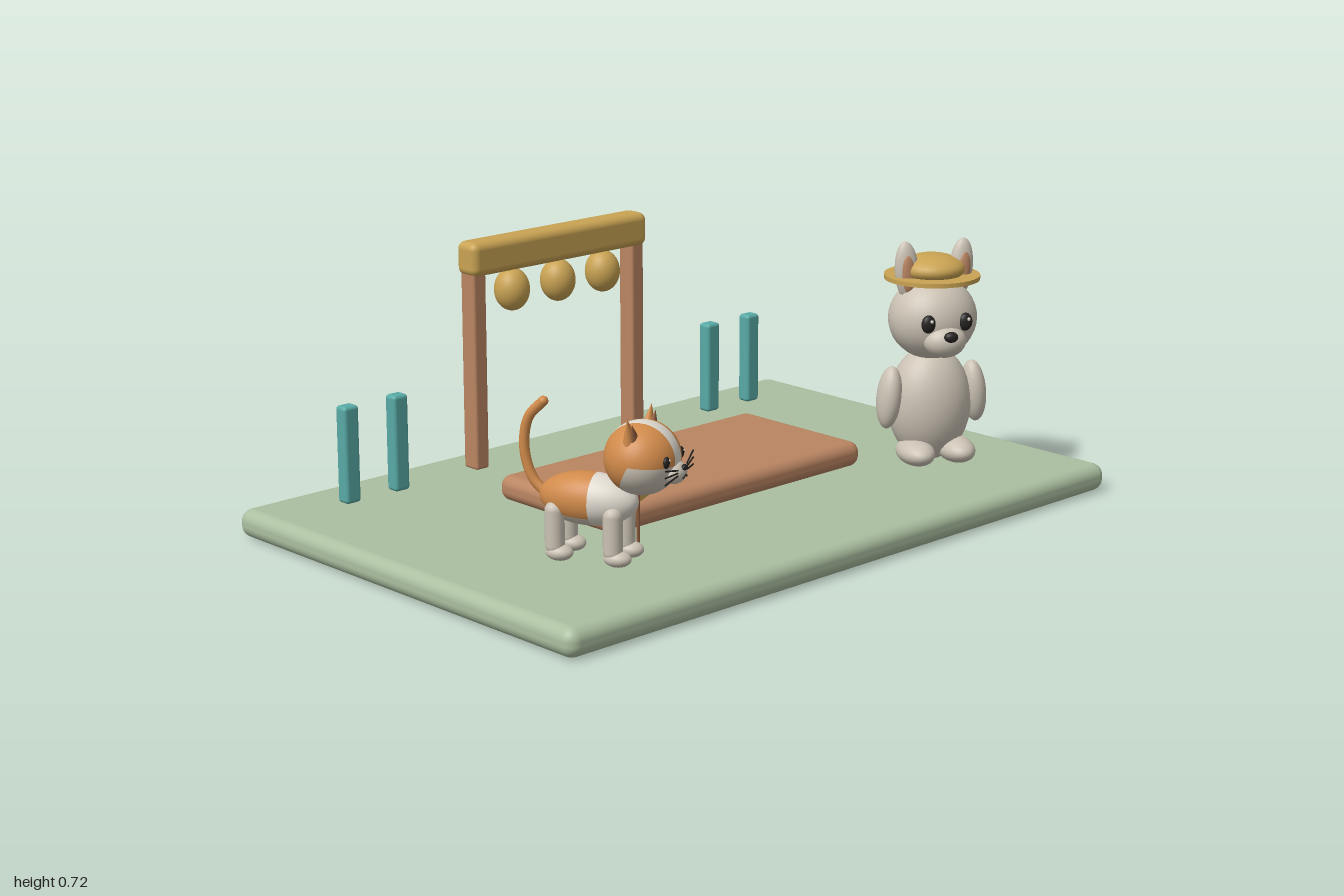
import * as THREE from 'three';
import { RoundedBoxGeometry } from 'three/addons/geometries/RoundedBoxGeometry.js';

const mat = (name, color, side = THREE.FrontSide) => {
  const m = new THREE.MeshStandardMaterial({ color, side });
  m.name = name;
  return m;
};

export function createModel() {
  const sage = mat('sage', 0xabbfa0), wood = mat('wood', 0xba8562), gold = mat('gold', 0xc9a353);
  const teal = mat('teal', 0x58aaa6), cream = mat('cream', 0xcbc2b4), white = mat('white', 0xded8cd);
  const orange = mat('orange', 0xd08a4a), brown = mat('brown', 0x8a5a3c), dark = mat('dark', 0x252322);
  const PI = Math.PI;

  const add = (parent, name, geo, material, x = 0, y = 0, z = 0) => {
    const m = new THREE.Mesh(geo, material);
    m.name = name;
    m.position.set(x, y, z);
    parent.add(m);
    return m;
  };
  const box = (parent, name, material, size, pos, r) =>
    add(parent, name, new RoundedBoxGeometry(...size, 4, r), material, ...pos);
  const ball = (parent, name, material, radii, pos) => {
    const m = add(parent, name, new THREE.SphereGeometry(1, 32, 20), material, ...pos);
    m.scale.set(...radii);
    return m;
  };
  // straight thin rod between two points
  const rod = (parent, name, material, a, b, r) => {
    const path = new THREE.LineCurve3(new THREE.Vector3(...a), new THREE.Vector3(...b));
    return add(parent, name, new THREE.TubeGeometry(path, 1, r, 8), material);
  };
  const group = (parent, name, x, z, turn) => {
    const g = new THREE.Group();
    g.name = name;
    g.position.set(x, 0, z);
    g.rotation.y = turn;
    parent.add(g);
    return g;
  };

  const root = new THREE.Group();
  root.name = 'courtyard';

  // Ground slab and low stage
  box(root, 'ground', sage, [2, 0.078, 1.33], [0, 0.039, 0], 0.034);
  box(root, 'stage', wood, [0.935, 0.07, 0.455], [0, 0.121, 0], 0.03);

  // Gate with hanging lanterns
  for (const s of [-1, 1])
    box(root, 'gatePost', wood, [0.046, 0.56, 0.056], [s * 0.293, 0.357, -0.522], 0.008);
  box(root, 'gateBeam', gold, [0.645, 0.095, 0.08], [0, 0.67, -0.522], 0.022);
  for (const x of [-0.168, 0, 0.168])
    ball(root, 'lantern', gold, [0.05, 0.06, 0.05], [x, 0.567, -0.508]);

  // Teal marker posts
  for (const s of [-1, 1])
    for (const x of [0.585, 0.75])
      box(root, 'markerPost', teal, [0.049, 0.267, 0.042], [s * x, 0.213, -0.5], 0.01);

  // Standing animal with a straw hat
  const bear = group(root, 'hattedAnimal', 0.645, 0.312, -0.45);
  ball(bear, 'body', cream, [0.118, 0.162, 0.1], [0, 0.252, 0]);
  ball(bear, 'head', cream, [0.124, 0.115, 0.112], [0, 0.497, 0.01]);
  ball(bear, 'muzzle', cream, [0.06, 0.046, 0.05], [0, 0.45, 0.098]);
  ball(bear, 'nose', dark, [0.02, 0.015, 0.014], [0, 0.47, 0.142]);
  for (const s of [-1, 1]) {
    ball(bear, 'eye', dark, [0.02, 0.025, 0.014], [s * 0.054, 0.503, 0.111]);
    ball(bear, 'eyeGlint', white, [0.005, 0.005, 0.004], [s * 0.054 + 0.005, 0.512, 0.123]);
    const ear = ball(bear, 'ear', cream, [0.034, 0.083, 0.024], [s * 0.08, 0.632, 0.012]);
    const inner = ball(bear, 'innerEar', wood, [0.02, 0.055, 0.012], [s * 0.081, 0.626, 0.028]);
    ear.rotation.z = inner.rotation.z = -s * 0.08;
    ball(bear, 'arm', cream, [0.034, 0.088, 0.042], [s * 0.126, 0.28, 0.015]).rotation.z = s * 0.1;
    ball(bear, 'foot', cream, [0.05, 0.036, 0.078], [s * 0.06, 0.128, 0.052]);
  }
  add(bear, 'hatBrim', new THREE.CylinderGeometry(0.132, 0.132, 0.012, 40), gold, 0, 0.611, 0);
  ball(bear, 'hatCrown', gold, [0.09, 0.04, 0.09], [0, 0.634, 0]);

  // Patched cat
  const cat = group(root, 'cat', -0.63, 0.32, 0.45);

  // body: white chest, orange back, cream belly (sphere poles along z)
  const bodyPart = (name, material, phi, phiLen, theta, thetaLen) => {
    const g = new THREE.SphereGeometry(1, 32, 20, phi, phiLen, theta, thetaLen).rotateX(PI / 2);
    add(cat, name, g, material, 0, 0.248, 0).scale.set(0.066, 0.068, 0.13);
  };
  const split = 1.42;
  bodyPart('chest', white, 0, 2 * PI, 0, split);
  bodyPart('belly', cream, 0.6, PI - 1.2, split, PI - split);
  bodyPart('backPatch', orange, PI - 0.6, PI + 1.2, split, PI - split);

  // head: side patches, centre blaze, pale chin (sphere poles along x)
  const headPart = (name, material, phi, phiLen, theta, thetaLen) => {
    const g = new THREE.SphereGeometry(1, 32, 20, phi, phiLen, theta, thetaLen).rotateZ(-PI / 2);
    add(cat, name, g, material, 0, 0.368, 0.143).scale.set(0.103, 0.093, 0.095);
  };
  const chin = PI / 2 + 0.08, nape = PI + 0.5, half = 0.2;
  headPart('chin', cream, chin, nape - chin, 0, PI);
  headPart('blaze', white, nape, 2 * PI + chin - nape, PI / 2 - half, 2 * half);
  for (const start of [0, PI / 2 + half])
    headPart('headPatch', orange, nape, 2 * PI + chin - nape, start, PI / 2 - half);

  ball(cat, 'muzzle', cream, [0.042, 0.028, 0.03], [0, 0.338, 0.226]);
  ball(cat, 'nose', dark, [0.011, 0.008, 0.008], [0, 0.353, 0.252]);
  for (const s of [-1, 1]) {
    ball(cat, 'eye', dark, [0.012, 0.015, 0.008], [s * 0.05, 0.375, 0.224]);
    ball(cat, 'eyeGlint', white, [0.003, 0.003, 0.003], [s * 0.05 + 0.003, 0.38, 0.231]);
    rod(cat, 'mouth', dark, [0, 0.336, 0.256], [s * 0.016, 0.327, 0.252], 0.0025);
    const ear = add(cat, 'ear', new THREE.ConeGeometry(0.034, 0.075, 20), orange, s * 0.07, 0.448, 0.135);
    ear.scale.z = 0.6;
    ear.rotation.z = -s * 0.35;
    const inner = add(cat, 'innerEar', new THREE.ConeGeometry(0.021, 0.05, 16), brown, s * 0.07, 0.445, 0.147);
    inner.scale.z = 0.6;
    inner.rotation.z = -s * 0.35;
    for (const k of [-1, 0, 1])
      rod(cat, 'whisker', dark, [s * 0.03, 0.345 + k * 0.007, 0.246],
        [s * 0.1, 0.35 + k * 0.018, 0.238], 0.0022);
    // legs and paws
    for (const z of [0.08, -0.075]) {
      add(cat, 'leg', new THREE.CapsuleGeometry(0.025, 0.09, 6, 16), cream, s * 0.042, 0.175, z);
      ball(cat, 'paw', cream, [0.028, 0.021, 0.036], [s * 0.042, 0.113, z + 0.012]);
    }
  }

  // raised tail curling forward at the tip
  const tail = new THREE.CatmullRomCurve3([
    [0, 0.24, -0.105], [0, 0.285, -0.15], [0, 0.36, -0.172], [0, 0.44, -0.16], [0, 0.485, -0.12]
  ].map(p => new THREE.Vector3(...p)));
  add(cat, 'tail', new THREE.TubeGeometry(tail, 32, 0.013, 12), orange);
  ball(cat, 'tailTip', orange, [0.013, 0.013, 0.013], [0, 0.485, -0.12]);

  // little flag held beside the cat
  rod(cat, 'flagPole', brown, [0.078, 0.12, 0.1], [0.078, 0.27, 0.1], 0.005);
  add(cat, 'flag', new THREE.BoxGeometry(0.066, 0.045, 0.008), gold, 0.109, 0.248, 0.1);

  return root;
}
